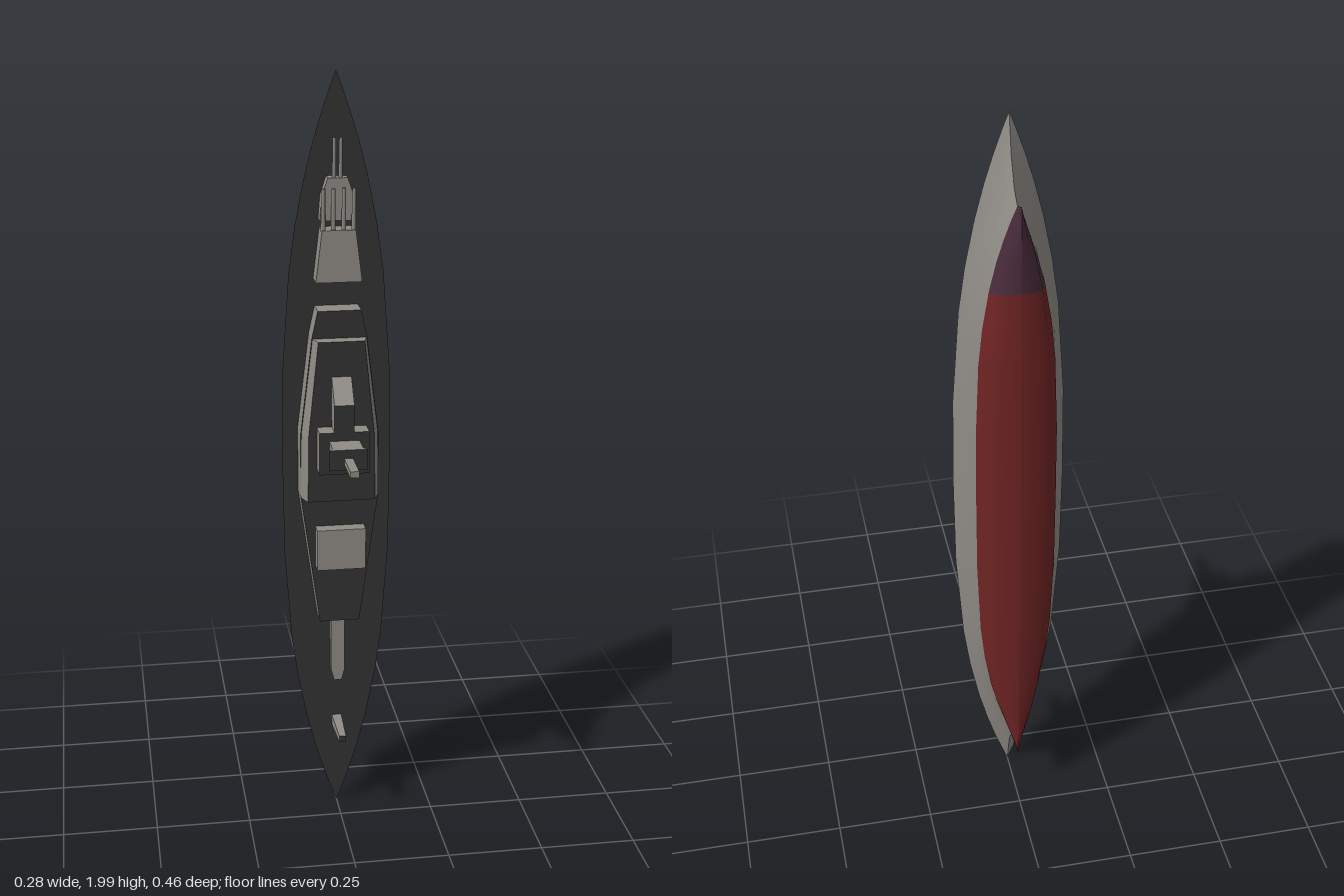
import * as THREE from 'three';

const mat = (name, color, side = THREE.FrontSide) => {
  const m = new THREE.MeshStandardMaterial({ color, side });
  m.name = name;
  return m;
};

export function createModel() {
  const ship = new THREE.Group();
  ship.name = 'warship';
  const grey = mat('hullGrey', 0x8f8b85);
  const dark = mat('deckDark', 0x333333);
  const red = mat('keelRed', 0x702424);
  const plum = mat('bowPlum', 0x482a3a);

  const add = (name, geometry, material, x = 0, y = 0, z = 0) => {
    const mesh = new THREE.Mesh(geometry, material);
    mesh.name = name;
    mesh.position.set(x, y, z);
    ship.add(mesh);
    return mesh;
  };

  // Hull waterlines: z amidships, z at the ends, half length, half width, fullness
  const lines = [
    [-0.08, -0.08, 0.995, 0.14, 2.8],
    [-0.105, -0.105, 0.9, 0.124, 2.9],
    [-0.14, -0.14, 0.835, 0.109, 3.2],
    [-0.178, -0.174, 0.812, 0.1, 3.6],
    [-0.21, -0.205, 0.826, 0.077, 3.8],
    [-0.227, -0.219, 0.833, 0.042, 4],
    [-0.231, -0.222, 0.835, 0, 4],
  ];
  const stations = [-1, -0.96, -0.9, -0.83, -0.74, -0.62, -0.5, -0.25, 0, 0.25, 0.5, 0.62, 0.74, 0.83, 0.9, 0.96, 1];
  const halfWidth = (line, t) => line[3] * (1 - Math.abs(t) ** line[4]);
  const MID = 1.005;

  // Skins both sides of the hull between chosen waterlines and stations
  const skin = (rows, cols) => {
    const pos = [], index = [];
    for (const s of [1, -1]) {
      const base = pos.length / 3;
      for (const r of rows) for (const t of cols) {
        pos.push(s * halfWidth(r, t), MID + r[2] * t, THREE.MathUtils.lerp(r[0], r[1], t ** 4));
      }
      const n = cols.length;
      for (let k = 0; k < rows.length - 1; k++) for (let i = 0; i < n - 1; i++) {
        const a = base + k * n + i, b = a + n, c = a + 1, d = b + 1;
        if (s > 0) index.push(a, b, c, c, b, d);
        else index.push(a, c, b, c, d, b);
      }
    }
    const g = new THREE.BufferGeometry();
    g.setAttribute('position', new THREE.Float32BufferAttribute(pos, 3));
    g.setIndex(index);
    g.computeVertexNormals();
    return g;
  };
  add('upperHull', skin(lines.slice(0, 4), stations), grey);
  add('lowerHull', skin(lines.slice(3), stations.filter(t => t <= 0.74)), red);
  add('lowerBow', skin(lines.slice(3), stations.filter(t => t >= 0.74)), plum);

  // Symmetrical outline from [y, half width] pairs running upwards
  const outline = pairs => new THREE.Shape([
    ...pairs.map(([y, w]) => new THREE.Vector2(w, y)),
    ...pairs.slice().reverse().map(([y, w]) => new THREE.Vector2(-w, y)),
  ]);
  const deckShape = new THREE.Shape([
    ...stations.map(t => new THREE.Vector2(halfWidth(lines[0], t), MID + lines[0][2] * t)),
    ...stations.slice(1, -1).reverse().map(t => new THREE.Vector2(-halfWidth(lines[0], t), MID + lines[0][2] * t)),
  ]);
  add('deck', new THREE.ShapeGeometry(deckShape), dark, 0, 0, -0.08);

  // Upright block on the outline; reshape(v) may move its upper corners
  const block = (name, pairs, z0, z1, top, reshape) => {
    const g = new THREE.ExtrudeGeometry(outline(pairs), { depth: z1 - z0, bevelEnabled: false });
    if (reshape) {
      const p = g.attributes.position, v = new THREE.Vector3();
      for (let i = 0; i < p.count; i++) {
        v.fromBufferAttribute(p, i);
        if (v.z > (z1 - z0) / 2) {
          reshape(v);
          p.setXYZ(i, v.x, v.y, v.z);
        }
      }
      g.computeVertexNormals();
    }
    return add(name, g, [top, grey], 0, 0, z0);
  };

  // Superstructure tiers
  block('mainDeckhouse', [[0.58, 0.052], [0.93, 0.1], [1.1, 0.1], [1.35, 0.07], [1.42, 0.055]], -0.08, -0.02, dark);
  block('upperDeckhouse', [[0.93, 0.1], [1.1, 0.098], [1.35, 0.068]], -0.02, 0.015, dark, v => { v.x *= 0.86; });
  block('bridge', [[1.02, 0.063], [1.13, 0.063]], 0.015, 0.065, dark);
  block('bridgeFront', [[1.13, 0.025], [1.26, 0.025]], 0.015, 0.065, dark, v => { v.y = Math.min(v.y, 1.2); });
  block('tower', [[1.055, 0.038], [1.108, 0.038]], 0.065, 0.12, dark);
  block('towerHead', [[1.055, 0.038], [1.108, 0.038]], 0.12, 0.135, dark, v => { v.x *= 1.25; });
  block('mast', [[1.07, 0.011], [1.086, 0.011]], 0.135, 0.232, grey);
  block('aftHangar', [[0.74, 0.063], [0.85, 0.063]], -0.02, 0.015, grey);
  block('aftHouse', [[0.39, 0.01], [0.42, 0.018], [0.58, 0.018]], -0.08, -0.053, grey);
  block('sternPost', [[0.243, 0.013], [0.272, 0.013]], -0.08, 0.035, dark, v => {
    v.x *= 0.7;
    v.y = 0.258 + (v.y - 0.258) * 0.6;
  });

  // Gun turrets
  block('rearTurret', [[1.49, 0.058], [1.62, 0.042]], -0.08, -0.027, grey);
  block('frontTurret', [[1.64, 0.045], [1.7, 0.04], [1.745, 0.025]], -0.08, -0.048, grey);
  const barrel = (name, x, y, z, length, r) => {
    const m = add(name, new THREE.CylinderGeometry(r * 0.8, r, length, 8), grey, x, y + length / 2, z);
    m.rotation.x = 0.08;
  };
  for (const x of [-0.038, -0.013, 0.013, 0.038]) barrel('rearGun', x, 1.615, -0.035, 0.108, 0.006);
  for (const x of [-0.008, 0.008]) barrel('frontGun', x, 1.735, -0.055, 0.108, 0.005);

  return ship;
}
